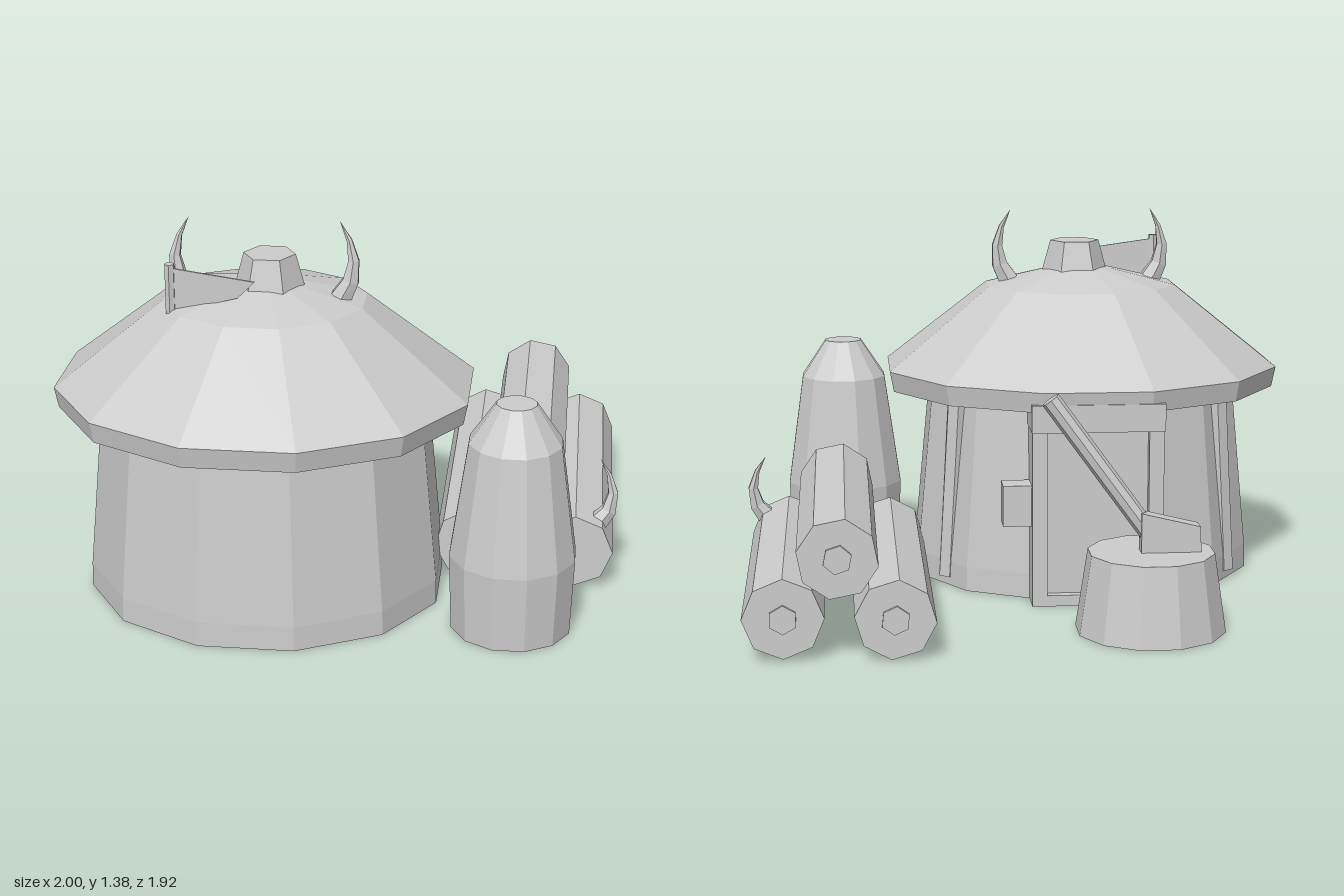
import * as THREE from 'three';

const stone = new THREE.MeshStandardMaterial({
  color: 0xcccccc, flatShading: true, side: THREE.DoubleSide,
});
stone.name = 'plain grey';

const V = (x, y, z) => new THREE.Vector3(x, y, z);

function add(parent, name, geometry, x = 0, y = 0, z = 0) {
  const mesh = new THREE.Mesh(geometry, stone);
  mesh.name = name;
  mesh.position.set(x, y, z);
  parent.add(mesh);
  return mesh;
}

function box(parent, name, x0, x1, y0, y1, z0, z1) {
  return add(parent, name, new THREE.BoxGeometry(x1 - x0, y1 - y0, z1 - z0),
    (x0 + x1) / 2, (y0 + y1) / 2, (z0 + z1) / 2);
}

// Twelve-sided turned form with flat sides facing the axes
function turned(profile) {
  return new THREE.LatheGeometry(profile.map(([r, y]) => new THREE.Vector2(r, y)),
    12, Math.PI / 12);
}

// Straight rod between two points
function rod(parent, name, a, b, r, sides = 8) {
  const mesh = add(parent, name, new THREE.CylinderGeometry(r, r, a.distanceTo(b), sides));
  mesh.position.copy(a).add(b).multiplyScalar(0.5);
  mesh.quaternion.setFromUnitVectors(V(0, 1, 0), b.clone().sub(a).normalize());
  return mesh;
}

// Curved horn whose rings shrink to a point at the tip
function horn(parent, name, base, mid, tip, r) {
  const curve = new THREE.QuadraticBezierCurve3(base,
    mid.clone().multiplyScalar(2).sub(base.clone().add(tip).multiplyScalar(0.5)), tip);
  const rings = 4, sides = 6;
  const geometry = new THREE.TubeGeometry(curve, rings, r, sides);
  const pos = geometry.attributes.position, p = V(0, 0, 0);
  for (let i = 0; i < pos.count; i++) {
    const t = Math.floor(i / (sides + 1)) / rings;
    const c = curve.getPointAt(t);
    p.fromBufferAttribute(pos, i).sub(c).multiplyScalar(1 - t).add(c);
    pos.setXYZ(i, p.x, p.y, p.z);
  }
  return add(parent, name, geometry);
}

function plate(points, depth) {
  const shape = new THREE.Shape(points.map(([x, y]) => new THREE.Vector2(x, y)));
  return new THREE.ExtrudeGeometry(shape, { depth, bevelEnabled: false });
}

export function createModel() {
  const model = new THREE.Group();
  model.name = 'hutCamp';
  const cx = -0.27, cz = 0.305, squash = 0.894;

  // Hut body and broad roof
  const hut = new THREE.Group();
  hut.name = 'hut';
  model.add(hut);
  add(hut, 'wall', turned([[0.652, 0], [0.65, 0.09], [0.588, 0.74]]), cx, 0, cz).scale.z = squash;
  add(hut, 'roof', turned([[0.58, 0.71], [0.741, 0.71], [0.756, 0.785],
    [0.366, 1.09], [0.12, 1.15], [0, 1.16]]), cx, 0, cz).scale.z = squash;
  add(hut, 'roofCap', new THREE.CylinderGeometry(0.092, 0.126, 0.125, 6, 1, false, Math.PI / 6),
    -0.25, 1.1925, 0.31);

  // Mirrored roof horns and wall poles
  for (const s of [-1, 1]) {
    horn(hut, 'roofHorn', V(cx + s * 0.27, 1.1, 0.315), V(cx + s * 0.315, 1.23, 0.31),
      V(cx + s * 0.265, 1.375, 0.295), 0.043);
    rod(hut, 'wallPole', V(cx + s * 0.52, 0.03, 0.02), V(cx + s * 0.48, 0.74, 0.02), 0.042, 6);
  }

  // Flag on a long pole standing inside the hut
  rod(hut, 'flagPole', V(-0.575, 0.05, 0.465), V(-0.575, 1.255, 0.465), 0.018, 6);
  add(hut, 'flag', plate([[-0.57, 1.08], [-0.34, 1.14], [-0.28, 1.2], [-0.57, 1.24]], 0.008),
    0, 0, 0.461);

  // Back doorway
  const porch = new THREE.Group();
  porch.name = 'doorway';
  model.add(porch);
  for (const s of [-1, 1]) {
    const x = cx + s * 0.21;
    box(porch, 'doorPost', x - 0.027, x + 0.027, 0, 0.66, -0.335, -0.1);
  }
  box(porch, 'lintel', -0.51, -0.03, 0.64, 0.74, -0.345, -0.1);
  box(porch, 'door', -0.46, -0.08, 0.02, 0.65, -0.3, -0.28);
  box(porch, 'doorKnob', -0.425, -0.395, 0.31, 0.34, -0.325, -0.3);
  box(porch, 'doorstep', -0.47, -0.07, 0, 0.04, -0.335, -0.22);
  box(porch, 'sideBox', -0.035, 0.07, 0.29, 0.44, -0.3, -0.2);

  // Rounded sack beside the hut
  add(model, 'sack', turned([[0.215, 0], [0.226, 0.28], [0.165, 0.7], [0.071, 0.84], [0, 0.84]]),
    0.632, 0, 0.578);

  // Stack of three logs with cores on the cut ends
  const logs = [
    { x: 0.475, y: 0.14, z0: -0.925, z1: 0.25, turn: 0.1 },
    { x: 0.665, y: 0.358, z0: -0.95, z1: 0.235, turn: 0.2 },
    { x: 0.848, y: 0.145, z0: -0.905, z1: 0.28, turn: 0 },
  ];
  for (const { x, y, z0, z1, turn } of logs) {
    const log = new THREE.Group();
    log.name = 'log';
    log.position.set(x, y, 0);
    log.rotation.z = turn;
    model.add(log);
    rod(log, 'logBody', V(0, 0, z0), V(0, 0, z1), 0.138, 8);
    rod(log, 'logCore', V(0, 0, z0 - 0.012), V(0, 0, z0 + 0.01), 0.05, 6);
  }
  horn(model, 'logHorn', V(0.925, 0.22, 0.19), V(0.98, 0.33, 0.18), V(0.93, 0.465, 0.165), 0.04);

  // Chopping stump with an axe stuck in it
  add(model, 'stump', turned([[0.264, 0], [0.222, 0.28], [0, 0.28]]), -0.418, 0, -0.633);
  add(model, 'axeHead', plate([[-0.59, 0.25], [-0.38, 0.26], [-0.38, 0.42], [-0.585, 0.37]], 0.065),
    0, 0, -0.666);
  rod(model, 'axeHandle', V(-0.42, 0.33, -0.632), V(-0.07, 0.81, -0.595), 0.034, 8);

  return model;
}
